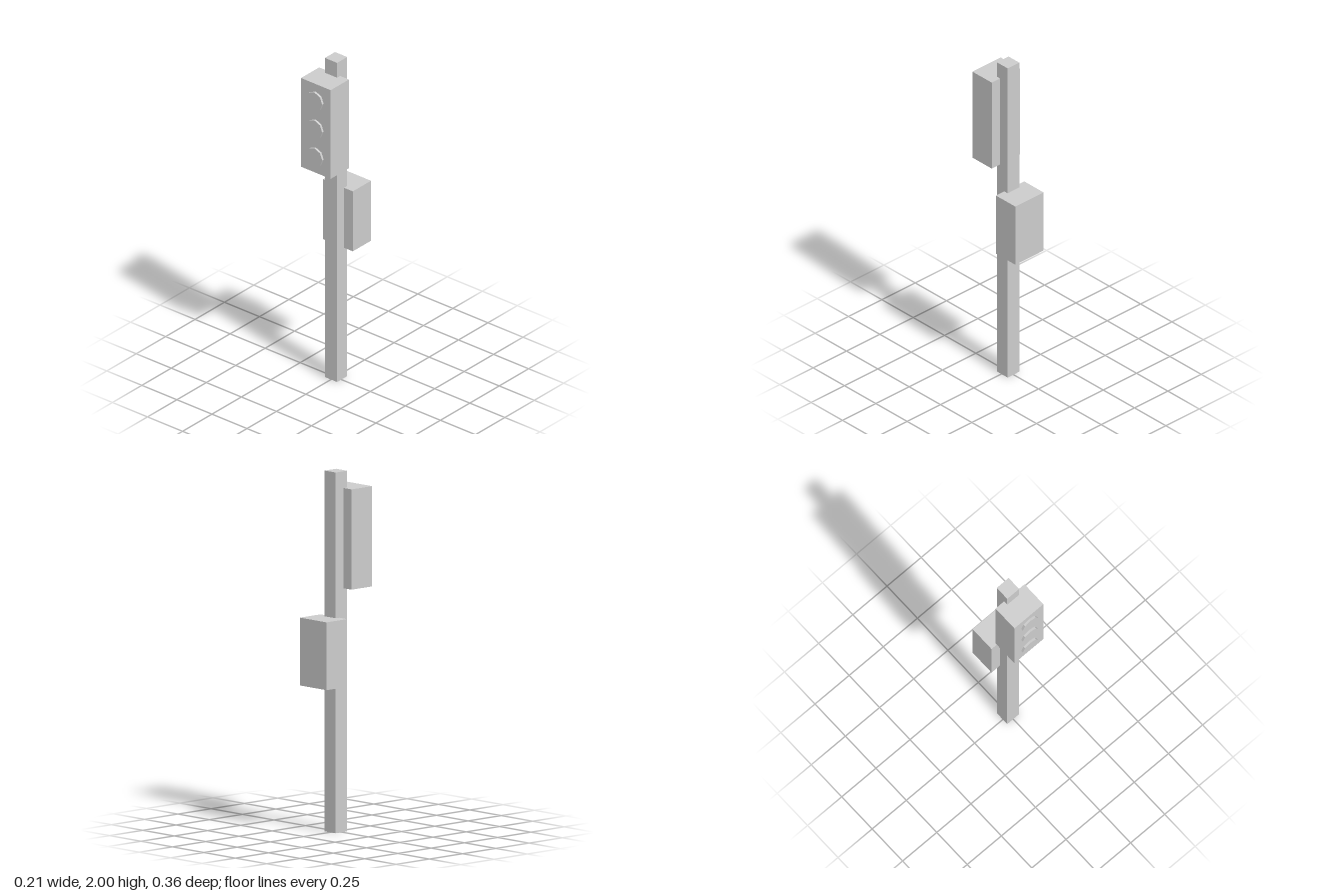
import * as THREE from 'three';

export function createModel() {
  const group = new THREE.Group();
  const grey = new THREE.MeshStandardMaterial({ color: 0xcccccc });
  grey.name = 'light grey';

  // Box given by its width, vertical range and depth range
  function addBox(name, width, y0, y1, z0, z1) {
    const mesh = new THREE.Mesh(new THREE.BoxGeometry(width, y1 - y0, z1 - z0), grey);
    mesh.name = name;
    mesh.position.set(0, (y0 + y1) / 2, (z0 + z1) / 2);
    group.add(mesh);
  }

  addBox('pole', 0.087, 0, 2, -0.05, 0.036);
  addBox('signalHousing', 0.212, 1.351, 1.907, 0.01, 0.165);
  addBox('controlBox', 0.212, 0.816, 1.192, -0.178, -0.023);

  // Three eight-sided lamps, facing forward, set slightly into the housing
  const lampGeometry = new THREE.CylinderGeometry(0.056, 0.056, 0.023, 8).toNonIndexed();
  lampGeometry.rotateX(Math.PI / 2);
  lampGeometry.computeVertexNormals();
  ['topLamp', 'middleLamp', 'bottomLamp'].forEach((name, i) => {
    const lamp = new THREE.Mesh(lampGeometry, grey);
    lamp.name = name;
    lamp.position.set(0, 1.804 - i * 0.175, 0.1665);
    group.add(lamp);
  });

  return group;
}
